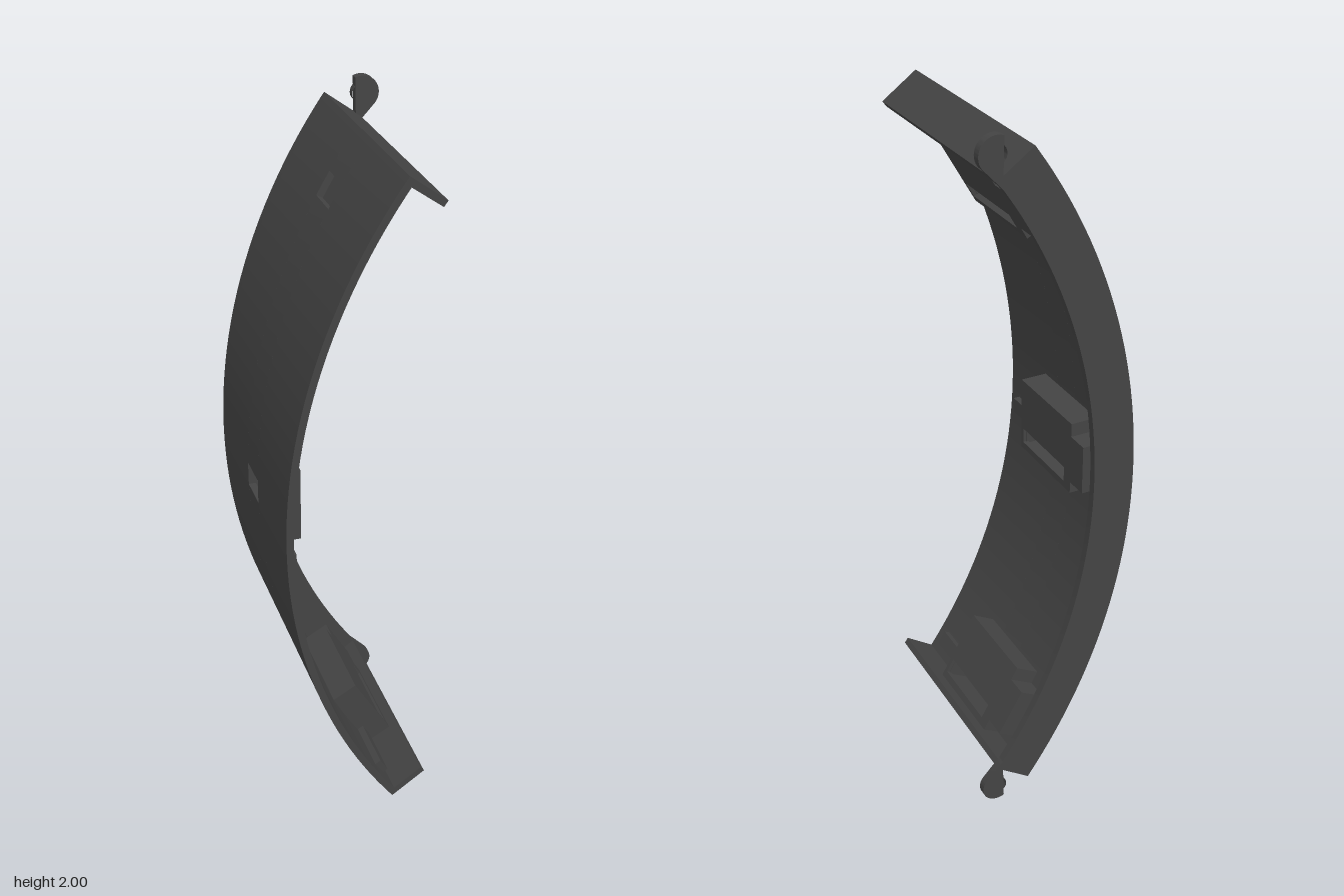
import * as THREE from 'three';
import { toCreasedNormals } from 'three/addons/utils/BufferGeometryUtils.js';

const CX = 1.41, CY = 1;            // centre of the curved shell
const R_OUT = 1.64, R_SKIN = 1.62, R_IN = 1.52;
const END = 35.8, STEP = 30;        // degrees
const BACK = -0.325, FRONT = 0.325, PLATE = 0.022;
const rad = THREE.MathUtils.degToRad;

const material = new THREE.MeshStandardMaterial({ color: 0x444444, side: THREE.DoubleSide });

function extrude(shape, depth) {
  const geometry = new THREE.ExtrudeGeometry(shape, { depth, bevelEnabled: false, curveSegments: 20 });
  return toCreasedNormals(geometry, rad(25));
}

function add(parent, name, geometry) {
  const mesh = new THREE.Mesh(geometry, material);
  mesh.name = name;
  parent.add(mesh);
  return mesh;
}

const polar = (r, deg) => new THREE.Vector2(CX - r * Math.cos(rad(deg)), CY + r * Math.sin(rad(deg)));

// Ring sector between two radii and two angles, extruded along z
function sector(r0, r1, a0, a1, z0, z1) {
  const n = Math.max(1, Math.ceil((a1 - a0) / 1.5));
  const points = [];
  for (let i = 0; i <= n; i++) points.push(polar(r1, a0 + (a1 - a0) * i / n));
  for (let i = n; i >= 0; i--) points.push(polar(r0, a0 + (a1 - a0) * i / n));
  return extrude(new THREE.Shape(points), z1 - z0).translate(0, 0, z0);
}

const toPoints = list => list.map(([x, y]) => new THREE.Vector2(x, y));
const rect = (x0, x1, y0, y1) => toPoints([[x0, y0], [x1, y0], [x1, y1], [x0, y1]]);

// Flat outline drawn in (z, height), made thick from radius r0 to r1
function slab(outline, hole, r0, r1) {
  const shape = new THREE.Shape(outline);
  if (hole) shape.holes.push(new THREE.Path(hole));
  return extrude(shape, r1 - r0).rotateY(-Math.PI / 2).translate(-r0, 0, 0);
}

// Holder outline: a wide box with a narrower tail towards the back, inset by d
const holderOutline = d => toPoints([
  [0.12 - d, -0.13 + d], [0.12 - d, 0.09 - d], [-0.165 + d, 0.09 - d], [-0.165 + d, 0.05 - d],
  [-0.23 + d, 0.05 - d], [-0.23 + d, -0.095 + d], [-0.165 + d, -0.095 + d], [-0.165 + d, -0.13 + d],
]);

function createHolder() {
  const holder = new THREE.Group();
  holder.name = 'holder';
  add(holder, 'holderWalls', slab(holderOutline(0), holderOutline(0.015), 1.55, 1.625));
  add(holder, 'holderCover', slab(holderOutline(0), rect(-0.13, 0.108, -0.11, -0.065), 1.54, 1.555));
  add(holder, 'guideRib', slab(rect(0.12, 0.28, -0.11, -0.065), null, 1.6, 1.628));
  return holder;
}

// Pierced ear at the end of the back plate
function lugGeometry() {
  const x = 0.178, y = 1.953, r = 0.047;
  const shape = new THREE.Shape();
  const start = polar(R_OUT, END), inner = polar(R_IN, END - 1);
  shape.moveTo(start.x, start.y);
  shape.absarc(x, y, r, rad(114), rad(-38), true);
  shape.lineTo(inner.x, inner.y);
  shape.closePath();
  const hole = new THREE.Path();
  hole.absarc(x, y, 0.027, 0, Math.PI * 2, false);
  shape.holes.push(hole);
  return extrude(shape, PLATE).translate(0, 0, BACK);
}

export function createModel() {
  const model = new THREE.Group();
  model.name = 'curvedCover';

  // Curved skin, with a row of three windows in its middle band
  const shell = new THREE.Group();
  shell.name = 'shell';
  model.add(shell);
  add(shell, 'shellBack', sector(R_SKIN, R_OUT, -END, END, BACK, -0.05));
  add(shell, 'shellFront', sector(R_SKIN, R_OUT, -END, END, 0.05, FRONT));
  let from = -END;
  for (const a of [-STEP, 0, STEP]) {
    add(shell, 'shellBand', sector(R_SKIN, R_OUT, from, a - 1.3, -0.05, 0.05));
    from = a + 1.15;
  }
  add(shell, 'shellBand', sector(R_SKIN, R_OUT, from, END, -0.05, 0.05));

  add(model, 'backPlate', sector(R_IN, R_OUT, -END, END, BACK, BACK + PLATE));

  // End walls and lugs, top and bottom
  add(model, 'topWall', sector(R_IN, R_OUT, END - 0.7, END, BACK, FRONT));
  add(model, 'bottomWall', sector(R_IN, R_OUT, -END, -END + 0.7, BACK, FRONT));
  add(model, 'topLug', lugGeometry());
  const bottomLug = add(model, 'bottomLug', lugGeometry());
  bottomLug.rotation.x = Math.PI;
  bottomLug.position.set(0, 2 * CY, 2 * BACK + PLATE);

  // Three holders behind the windows
  for (const a of [-STEP, 0, STEP]) {
    const holder = createHolder();
    holder.position.set(CX, CY, 0);
    holder.rotation.z = -rad(a);
    model.add(holder);
  }
  return model;
}
